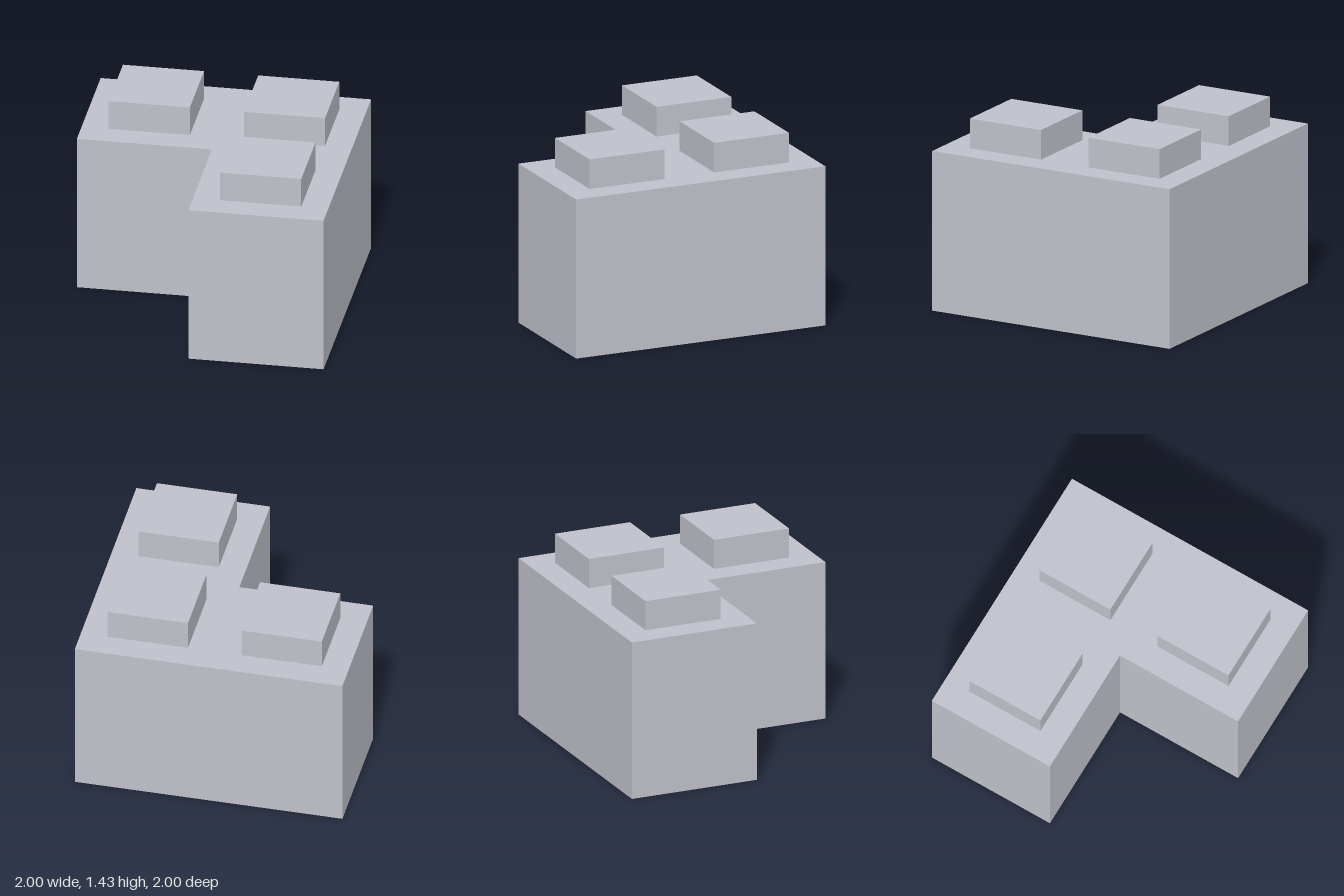
import * as THREE from 'three';

export function createModel() {
  const model = new THREE.Group();
  model.name = 'cornerBrick';

  const palegrey = new THREE.MeshStandardMaterial({ color: 0xc0c0ca });
  palegrey.name = 'pale grey';

  const bodyHeight = 1.21;
  const studSize = 0.6;
  const studHeight = 0.225;

  // L-shaped body: plan outline (shape y is -z), extruded upwards
  const outline = new THREE.Shape([
    [-1, 0], [0, 0], [0, -1], [1, -1], [1, 1], [-1, 1],
  ].map(([x, y]) => new THREE.Vector2(x, y)));
  const bodyGeometry = new THREE.ExtrudeGeometry(outline, { depth: bodyHeight, bevelEnabled: false });
  bodyGeometry.rotateX(-Math.PI / 2);
  const body = new THREE.Mesh(bodyGeometry, palegrey);
  body.name = 'body';
  model.add(body);

  // Square studs, one on each quarter of the L
  const studGeometry = new THREE.BoxGeometry(studSize, studHeight, studSize);
  const studs = { backRightStud: [-0.5, -0.5], cornerStud: [0.5, -0.5], frontLeftStud: [0.5, 0.5] };
  for (const [name, [x, z]] of Object.entries(studs)) {
    const stud = new THREE.Mesh(studGeometry, palegrey);
    stud.name = name;
    stud.position.set(x, bodyHeight + studHeight / 2, z);
    model.add(stud);
  }

  return model;
}
